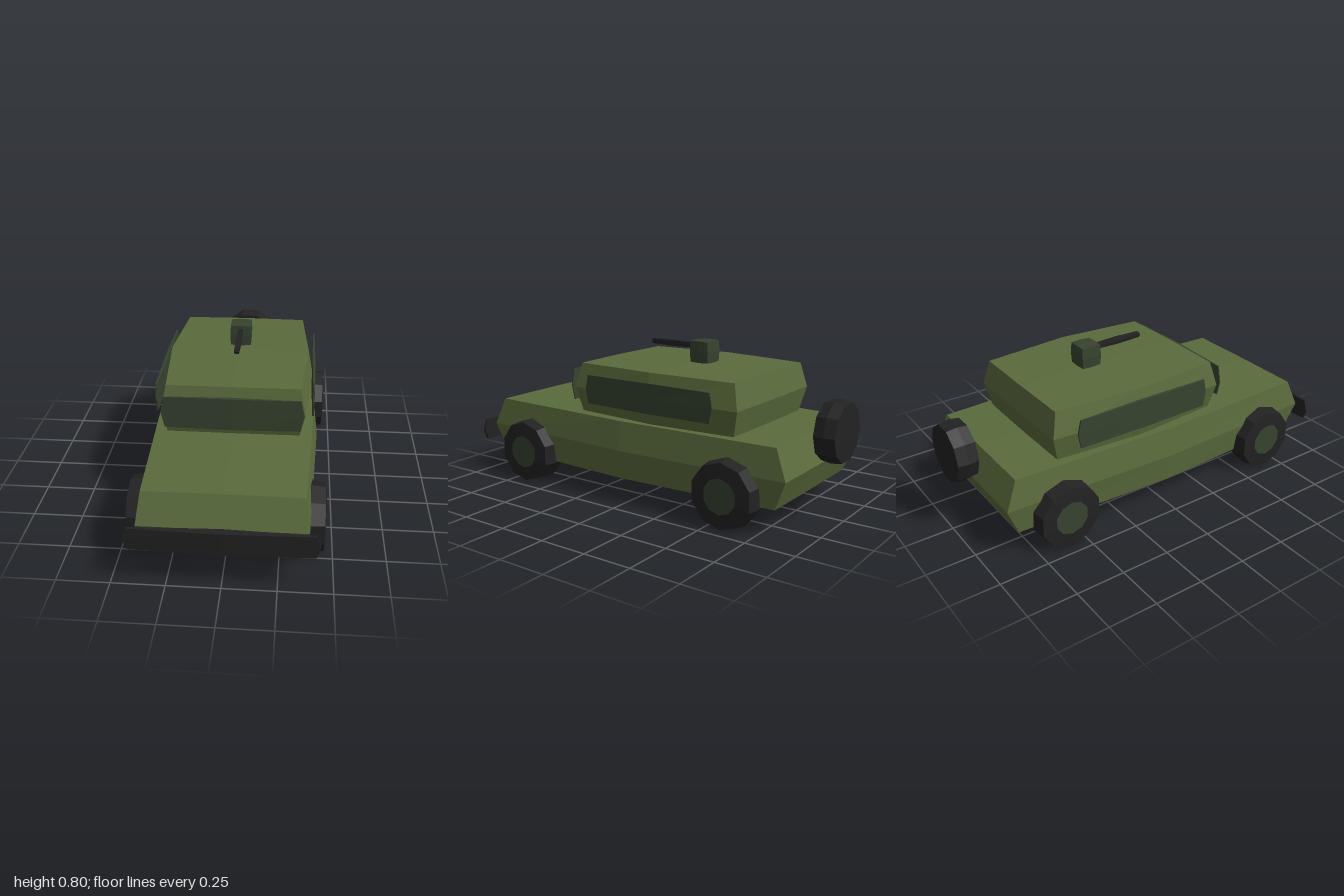
import * as THREE from 'three';

const flat = (name, color) => {
  const m = new THREE.MeshStandardMaterial({ color, flatShading: true });
  m.name = name;
  return m;
};

// Box whose side centres bulge: each half size shrinks by its inset for every
// other axis on which the vertex lies at the edge. Insets are [x by y, x by z, y by x, y by z, z by x, z by y].
function bulgedBox(half, inset) {
  const geo = new THREE.BoxGeometry(2, 2, 2, 2, 2, 2);
  const p = geo.attributes.position;
  const [xy, xz, yx, yz, zx, zy] = inset;
  for (let i = 0; i < p.count; i++) {
    const x = p.getX(i), y = p.getY(i), z = p.getZ(i);
    const ax = Math.abs(x), ay = Math.abs(y), az = Math.abs(z);
    p.setXYZ(i,
      x * (half[0] - xy * ay - xz * az),
      y * (half[1] - yx * ax - yz * az),
      z * (half[2] - zx * ax - zy * ay));
  }
  geo.computeVertexNormals();
  return geo;
}

// Ten-sided tyre around the y axis, widest in the middle of its tread
function tyreGeometry(radius, edgeRadius, halfWidth, innerRadius, faceBulge) {
  const profile = [
    [innerRadius, -halfWidth - faceBulge], [edgeRadius, -halfWidth], [radius, 0],
    [edgeRadius, halfWidth], [innerRadius, halfWidth + faceBulge],
  ].map(([r, y]) => new THREE.Vector2(r, y));
  return new THREE.LatheGeometry(profile, 10, Math.PI / 2);
}

export function createModel() {
  const olive = flat('olive paint', 0x5a6b3c);
  const darkGreen = flat('dark green', 0x36432f);
  const black = flat('black rubber', 0x222222);

  const model = new THREE.Group();
  model.name = 'armouredCar';
  const add = (name, geo, mat, x, y, z, parent = model) => {
    const mesh = new THREE.Mesh(geo, mat);
    mesh.name = name;
    mesh.position.set(x, y, z);
    parent.add(mesh);
    return mesh;
  };

  // Hull and cabin
  add('body', bulgedBox([0.42, 0.15, 0.91], [0.02, 0.035, 0.002, 0.003, 0, 0.06]), olive, 0, 0.275, 0.027);
  add('cabin', bulgedBox([0.387, 0.132, 0.49], [0.025, 0.035, 0.002, 0.004, 0.004, 0.03]), olive, 0, 0.548, -0.125);

  // Windscreen and side windows
  add('windscreen', bulgedBox([0.348, 0.083, 0.01], [0.018, 0, 0.002, 0, 0.007, 0]), darkGreen, 0, 0.557, 0.387);
  for (const [side, s] of [['left', 1], ['right', -1]]) {
    add(side + 'Window', bulgedBox([0.008, 0.075, 0.378], [0, 0.004, 0, 0.002, 0, 0.015]),
      darkGreen, s * 0.391, 0.557, -0.125);
  }

  // Front bumper
  add('bumper', bulgedBox([0.436, 0.057, 0.02], [0.02, 0, 0.002, 0, 0.013, 0]), black, 0, 0.24, 0.98);

  // Road wheels, with the hub showing on both faces
  const tyre = tyreGeometry(0.17, 0.161, 0.068, 0.088, 0.007).rotateZ(-Math.PI / 2);
  const hub = new THREE.CylinderGeometry(0.088, 0.088, 0.15, 10, 1, false, Math.PI / 2).rotateZ(-Math.PI / 2);
  for (const [end, z] of [['front', 0.65], ['rear', -0.59]]) {
    for (const [side, s] of [['Left', 1], ['Right', -1]]) {
      const wheel = new THREE.Group();
      wheel.name = end + side + 'Wheel';
      wheel.position.set(s * 0.388, 0.173, z);
      add('tyre', tyre, black, 0, 0, 0, wheel);
      add('hub', hub, darkGreen, 0, 0, 0, wheel);
      model.add(wheel);
    }
  }

  // Spare wheel on the tail
  add('spareWheel', tyreGeometry(0.153, 0.145, 0.053, 0, 0.004).rotateX(Math.PI / 2), black, 0, 0.435, -0.943);

  // Roof turret and gun barrel
  add('turret', bulgedBox([0.057, 0.057, 0.056], [0.003, 0.002, 0.002, 0.002, 0.002, 0.003]), darkGreen, 0, 0.742, -0.205);
  add('gunBarrel', bulgedBox([0.015, 0.016, 0.137], [0.001, 0.002, 0.001, 0.003, 0, 0.004]), black, 0, 0.767, -0.018);

  return model;
}
